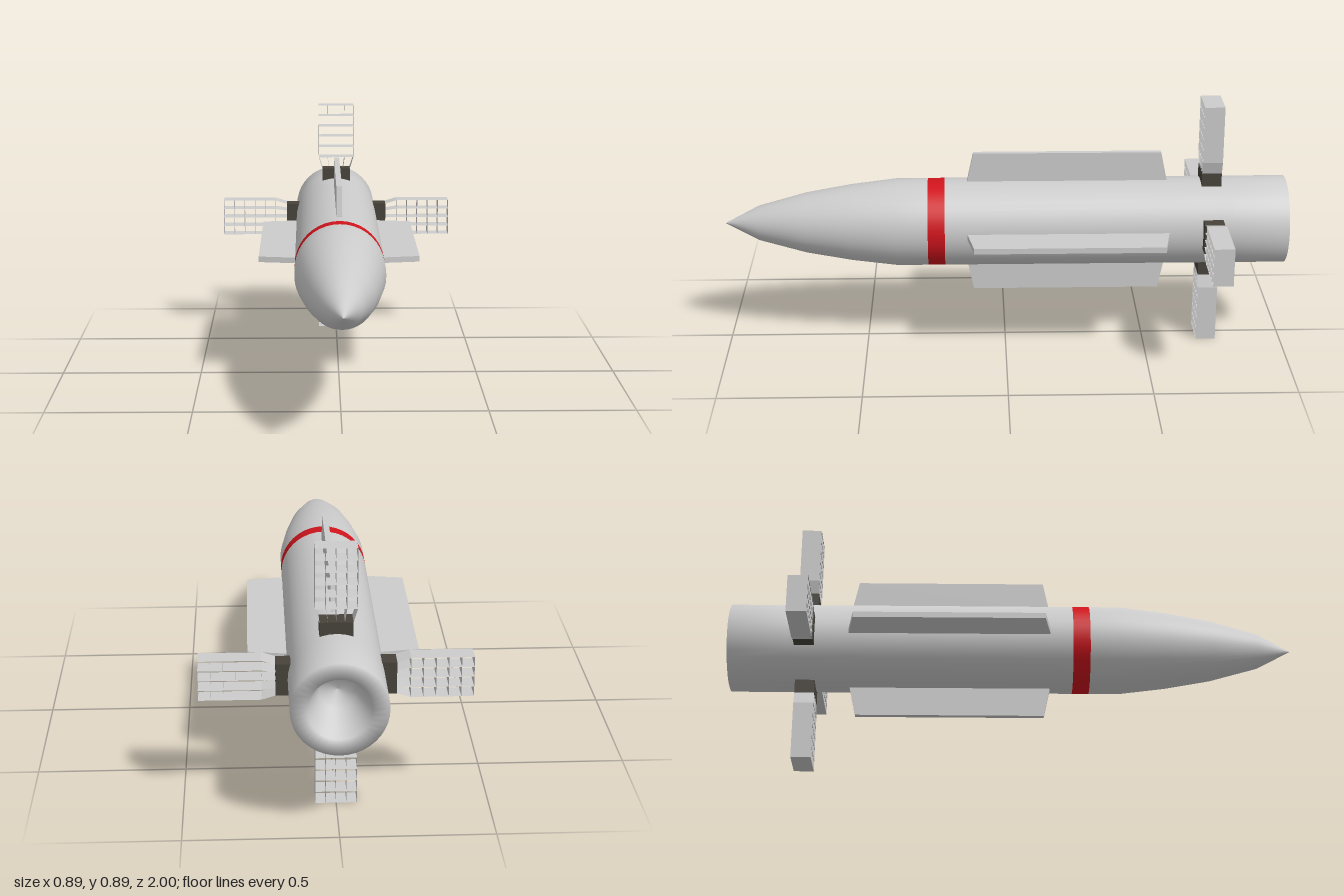
import * as THREE from 'three';
import { mergeGeometries } from 'three/addons/utils/BufferGeometryUtils.js';

const AXIS_Y = 0.444;
const RADIUS = 0.156;
const grey = new THREE.MeshStandardMaterial({ color: 0xcccccc });
const sheet = new THREE.MeshStandardMaterial({ color: 0xcccccc, side: THREE.DoubleSide });
const red = new THREE.MeshStandardMaterial({ color: 0xd0141c });
const dark = new THREE.MeshStandardMaterial({ color: 0x47433b });

function part(name, geometry, material) {
  const mesh = new THREE.Mesh(geometry, material);
  mesh.name = name;
  return mesh;
}

// Turned part around the z axis; points are [radius, z]
function turned(name, points, material) {
  const geometry = new THREE.LatheGeometry(points.map(([r, z]) => new THREE.Vector2(r, z)), 40);
  return part(name, geometry.rotateX(Math.PI / 2), material);
}

// Flat strake pointing up +y, with swept ends
function strake(tip) {
  const shape = new THREE.Shape([
    new THREE.Vector2(-0.135, 0.14), new THREE.Vector2(-0.135, RADIUS),
    new THREE.Vector2(-0.113, tip), new THREE.Vector2(0.553, tip),
    new THREE.Vector2(0.575, RADIUS), new THREE.Vector2(0.575, 0.14),
  ]);
  const geometry = new THREE.ExtrudeGeometry(shape, { depth: 0.02, bevelEnabled: false });
  // shape x runs aft (-z)
  geometry.translate(0, 0, -0.01).rotateY(Math.PI / 2);
  return part('strake', geometry, grey);
}

// Thin wall between two points in the xy plane, running along z
function wall(x0, y0, x1, y1) {
  const geometry = new THREE.PlaneGeometry(Math.hypot(x1 - x0, y1 - y0), 0.07);
  geometry.rotateX(Math.PI / 2).rotateZ(Math.atan2(y1 - y0, x1 - x0));
  return geometry.translate((x0 + x1) / 2, (y0 + y1) / 2, 0);
}

// Lattice fin pointing up +y, open from front to back
function gridFin() {
  const fin = new THREE.Group();
  fin.name = 'gridFin';
  const neck = 0.195, start = 0.24, tip = 0.444, columns = 4, rows = 5;
  const walls = [];
  for (let i = 0; i <= columns; i++) {
    const t = (i / columns) * 2 - 1;
    walls.push(wall(t * 0.054, neck, t * 0.068, start));
    walls.push(wall(t * 0.068, start, t * 0.068, tip));
  }
  for (let j = 0; j <= rows; j++) {
    const y = start + ((tip - start) * j) / rows;
    walls.push(wall(-0.068, y, 0.068, y));
  }
  fin.add(part('lattice', mergeGeometries(walls), sheet));
  const root = new THREE.BoxGeometry(0.108, 0.065, 0.07).translate(0, 0.1625, 0);
  fin.add(part('finRoot', root, dark));
  fin.position.z = -0.73;
  return fin;
}

export function createModel() {
  const model = new THREE.Group();
  model.name = 'missile';
  const airframe = new THREE.Group();
  airframe.name = 'airframe';
  airframe.position.y = AXIS_Y;
  model.add(airframe);

  // Body with recessed nozzle, coloured band and pointed nose
  airframe.add(turned('body', [
    [0, -0.84], [0.06, -0.86], [0.102, -1], [RADIUS, -1], [RADIUS, -0.8], [RADIUS, 0.215],
  ], grey));
  airframe.add(turned('band', [[RADIUS, 0.215], [RADIUS, 0.275]], red));
  airframe.add(turned('nose', [
    [RADIUS, 0.275], [RADIUS, 0.385], [0.136, 0.55], [0.108, 0.71], [0.062, 0.88], [0, 1],
  ], grey));

  // Four strakes and four lattice fins around the body
  for (let i = 0; i < 4; i++) {
    const quarter = new THREE.Group();
    quarter.name = 'finSet';
    quarter.rotation.z = (i * Math.PI) / 2;
    quarter.add(strake(i % 2 ? 0.284 : 0.26), gridFin());
    airframe.add(quarter);
  }
  return model;
}
